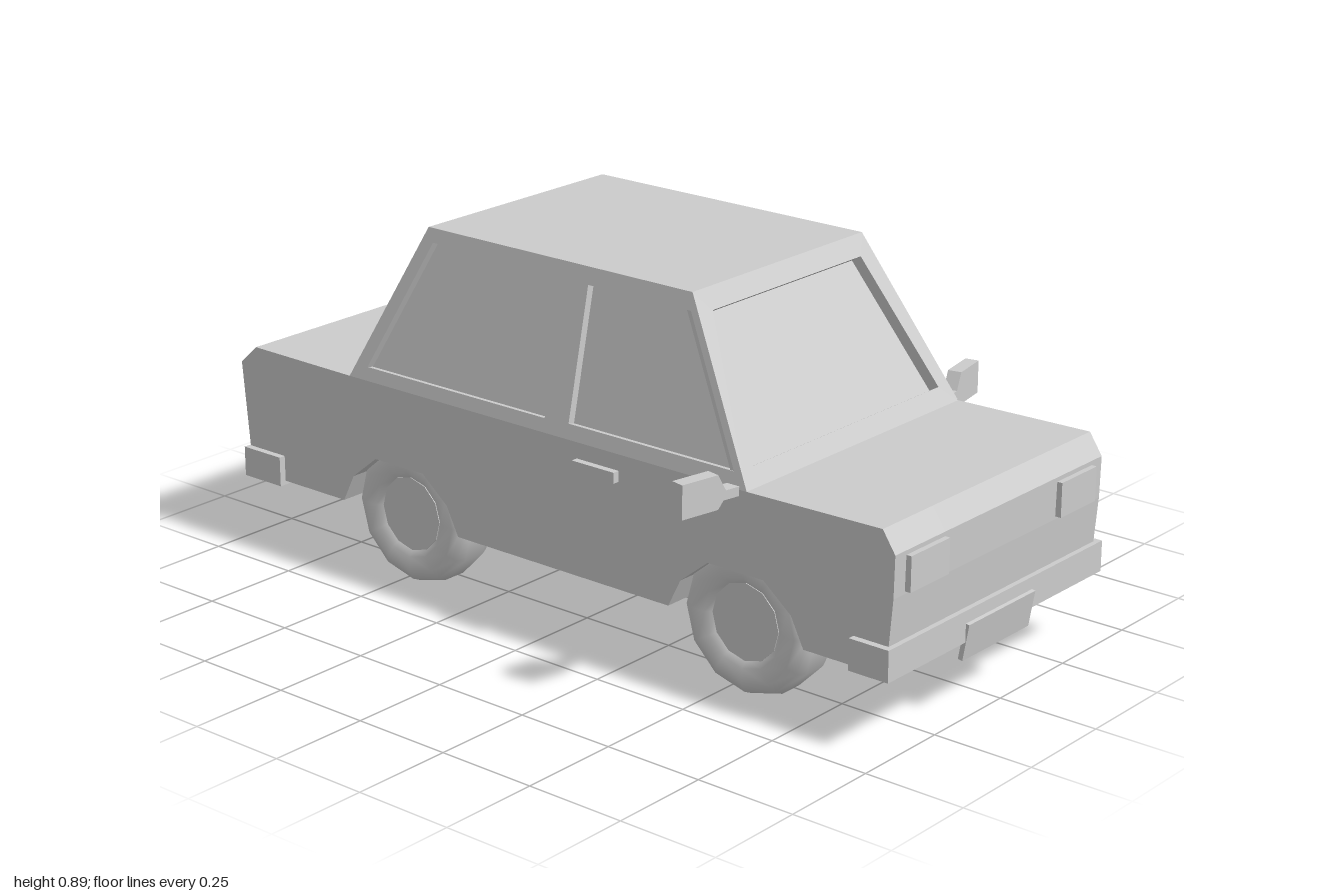
import * as THREE from 'three';

const V = (x, y, z) => new THREE.Vector3(x, y, z);
const material = new THREE.MeshStandardMaterial({ color: 0xcccccc, flatShading: true });
const smooth = new THREE.MeshStandardMaterial({ color: 0xcccccc });
const shapeOf = (pts) => new THREE.Shape(pts.map(([a, b]) => new THREE.Vector2(a, b)));

export function createModel() {
  const car = new THREE.Group();
  car.name = 'sedan';

  function add(name, geometry, mat = material, parent = car) {
    const mesh = new THREE.Mesh(geometry, mat);
    mesh.name = name;
    parent.add(mesh);
    return mesh;
  }
  function box(name, w, h, d, x, y, z, tilt = 0) {
    const mesh = add(name, new THREE.BoxGeometry(w, h, d));
    mesh.position.set(x, y, z);
    mesh.rotation.x = tilt;
    return mesh;
  }

  // Lower body: a side profile (z, y) extruded across x
  const W = 0.395, WELL = 0.215;
  const AXLES = [0.56, -0.465];
  const upper = [[-0.975, 0.18], [-1, 0.46], [-0.947, 0.508], [-0.62, 0.505], [0.59, 0.505], [0.953, 0.511], [0.987, 0.46], [0.985, 0.36], [0.97, 0.18]];
  const arch = [[0.19, 0.18], [0.155, 0.25], [0.078, 0.312], [-0.078, 0.312], [-0.155, 0.25], [-0.19, 0.18]];
  const arches = AXLES.flatMap((z) => arch.map(([a, y]) => [z + a, y]));

  function slab(name, pts, x0, x1) {
    const g = new THREE.ExtrudeGeometry(shapeOf(pts), { depth: x1 - x0, bevelEnabled: false });
    g.rotateY(-Math.PI / 2).translate(x1, 0, 0);
    add(name, g);
  }
  slab('bodyCentre', upper, -WELL, WELL);
  slab('bodySideLeft', [...upper, ...arches], WELL, W);
  slab('bodySideRight', [...upper, ...arches], -W, -WELL);

  // Cabin: sloped panels with recessed windows
  const Y0 = 0.505, Y1 = 0.89;
  const slope = (a, b) => (y) => a + (b - a) * (y - Y0) / (Y1 - Y0);
  const sideX = slope(W, 0.308), frontZ = slope(0.59, 0.365), rearZ = slope(-0.622, -0.432);

  function panel(name, corners, windows = [], depth = 0.02) {
    const u = corners[1].clone().sub(corners[0]).normalize();
    const n = u.clone().cross(corners[2].clone().sub(corners[0])).normalize();
    const v = n.clone().cross(u);
    const matrix = new THREE.Matrix4().makeBasis(u, v, n).setPosition(corners[0]);
    const flat = (pts) => pts.map((p) => {
      const q = p.clone().sub(corners[0]);
      return [q.dot(u), q.dot(v)];
    });
    const shape = shapeOf(flat(corners));
    for (const w of windows) {
      const pane = shapeOf(flat(w));
      shape.holes.push(pane);
      add(name + 'Glass', new THREE.ShapeGeometry(pane).translate(0, 0, 0.001 - depth).applyMatrix4(matrix));
    }
    const g = new THREE.ExtrudeGeometry(shape, { depth, bevelEnabled: false });
    add(name, g.translate(0, 0, -depth).applyMatrix4(matrix));
  }

  const corner = (s, z, y) => V(s * sideX(y), y, z(y));
  panel('roof', [corner(-1, frontZ, Y1), corner(1, frontZ, Y1), corner(1, rearZ, Y1), corner(-1, rearZ, Y1)]);

  const endWindow = (z, low, high, wLow, wHigh) =>
    [[-wLow, low], [wLow, low], [wHigh, high], [-wHigh, high]].map(([x, y]) => V(x, y, z(y)));
  panel('windshieldFrame',
    [corner(-1, frontZ, Y0), corner(1, frontZ, Y0), corner(1, frontZ, Y1), corner(-1, frontZ, Y1)],
    [endWindow(frontZ, 0.545, 0.845, 0.347, 0.27)], 0.03);
  panel('rearWindowFrame',
    [corner(1, rearZ, Y0), corner(-1, rearZ, Y0), corner(-1, rearZ, Y1), corner(1, rearZ, Y1)],
    [endWindow(rearZ, 0.535, 0.86, 0.355, 0.28)], 0.015);

  const frontDoor = [[0.548, 0.54], [0.07, 0.54], [0.07, 0.85], [0.368, 0.85]];
  const rearDoor = [[-0.002, 0.537], [-0.568, 0.537], [-0.412, 0.857], [-0.002, 0.857]];
  for (const s of [1, -1]) {
    const frame = [corner(s, frontZ, Y0), corner(s, rearZ, Y0), corner(s, rearZ, Y1), corner(s, frontZ, Y1)];
    if (s < 0) frame.reverse();
    panel(s > 0 ? 'leftWindowFrame' : 'rightWindowFrame', frame,
      [frontDoor, rearDoor].map((w) => {
        const pts = w.map(([z, y]) => V(s * sideX(y), y, z));
        return s > 0 ? pts : pts.reverse();
      }));
  }

  // Wheels: rounded tyre with a flat hub
  const tyre = [[0.09, -0.055], [0.108, -0.063], [0.145, -0.064], [0.168, -0.052], [0.178, -0.03],
    [0.178, 0.03], [0.168, 0.052], [0.145, 0.064], [0.108, 0.063], [0.09, 0.048]];
  for (const z of AXLES) {
    for (const s of [1, -1]) {
      const wheel = new THREE.Group();
      wheel.name = 'wheel';
      wheel.position.set(s * 0.305, 0.18, z);
      wheel.rotation.z = -s * Math.PI / 2;
      add('tyre', new THREE.LatheGeometry(tyre.map(([r, h]) => new THREE.Vector2(r, h)), 12), smooth, wheel);
      add('hub', new THREE.CylinderGeometry(0.093, 0.093, 0.105, 12), material, wheel);
      car.add(wheel);
    }
  }

  // Bumpers and number plates
  box('frontBumper', 0.824, 0.075, 0.105, 0, 0.2125, 0.936);
  box('rearBumper', 0.824, 0.075, 0.125, 0, 0.2075, -0.9225);
  box('frontPlate', 0.256, 0.09, 0.012, 0, 0.175, 0.984, 0.17);
  box('rearPlate', 0.256, 0.09, 0.012, 0, 0.175, -0.98, -0.17);

  for (const s of [1, -1]) {
    // Lamps and door handles
    box('headlamp', 0.14, 0.083, 0.03, s * 0.285, 0.408, 0.985);
    box('tailLamp', 0.14, 0.08, 0.03, s * 0.3, 0.35, -0.986, -0.09);
    box('doorHandle', 0.03, 0.026, 0.125, s * 0.397, 0.453, 0.163);

    // Door mirror flaring out from a thin stem, swept backwards
    const outline = [[-0.02, 0.49], [0.045, 0.49], [0.06, 0.472], [0.16, 0.472],
      [0.16, 0.552], [0.06, 0.552], [0.038, 0.512], [-0.02, 0.512]];
    const g = new THREE.ExtrudeGeometry(shapeOf(outline.map(([x, y]) => [s * x, y])), { depth: 0.034, bevelEnabled: false });
    g.translate(0, 0, -0.017).rotateY(s * 0.19).translate(s * 0.39, 0, 0.552);
    add('doorMirror', g);
  }

  return car;
}
